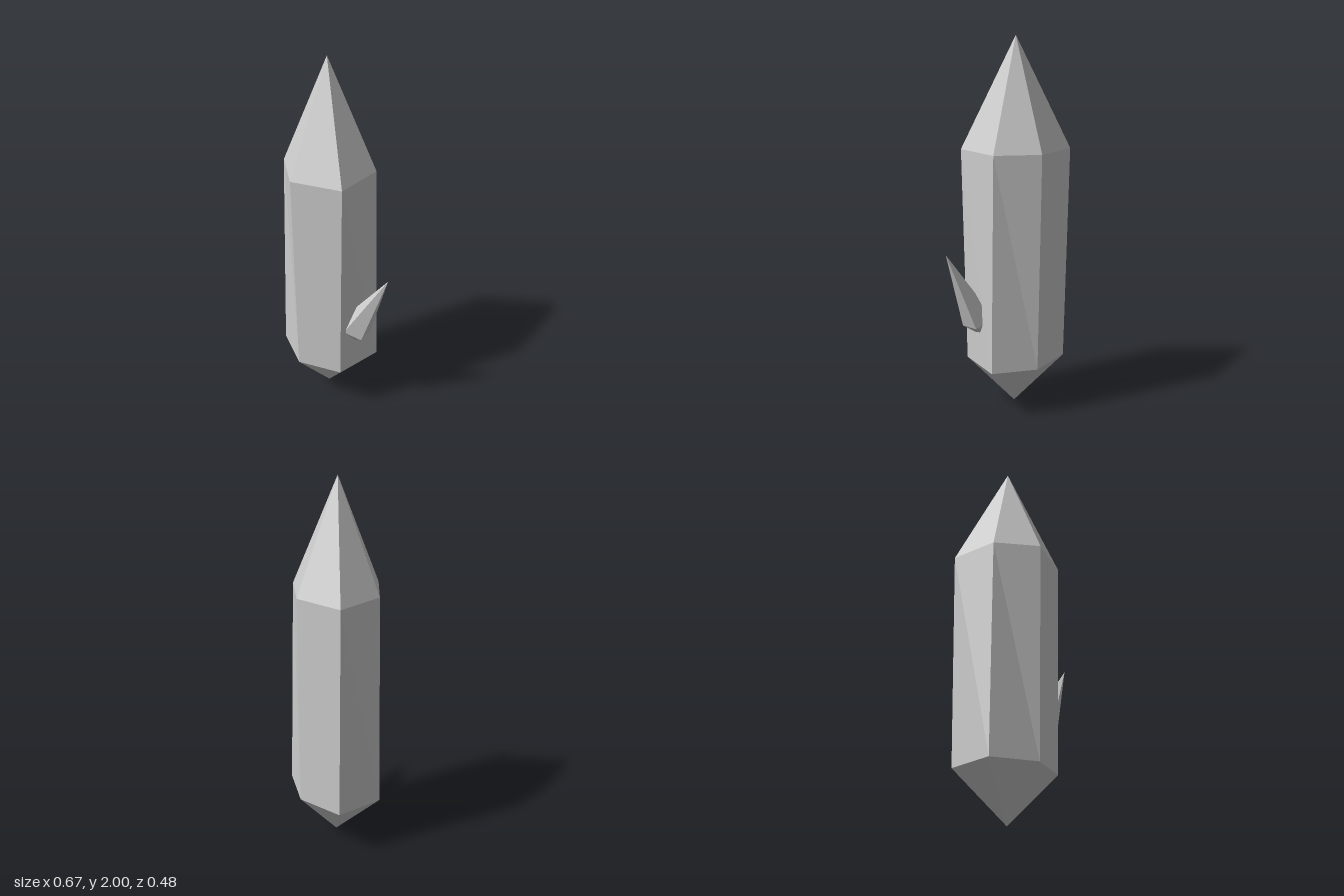
import * as THREE from 'three';

// Closed faceted crystal: lower point, one or more rings, upper point.
// Rings run front-left to right to back, so faces look outward.
function crystal(bottom, rings, top) {
  const p = [];
  const tri = (a, b, c) => p.push(...a, ...b, ...c);
  const n = rings[0].length;
  const last = rings[rings.length - 1];
  for (let i = 0; i < n; i++) {
    const j = (i + 1) % n;
    tri(bottom, rings[0][j], rings[0][i]);
    for (let k = 0; k + 1 < rings.length; k++) {
      const lo = rings[k], hi = rings[k + 1];
      tri(lo[i], lo[j], hi[i]);
      tri(lo[j], hi[j], hi[i]);
    }
    tri(last[i], last[j], top);
  }
  const g = new THREE.BufferGeometry();
  g.setAttribute('position', new THREE.Float32BufferAttribute(p, 3));
  g.computeVertexNormals();
  return g;
}

// Horizontal ring from x, z pairs
const ringAt = (y, pts) => pts.map(([x, z]) => [x, y, z]);

export function createModel() {
  const group = new THREE.Group();
  group.name = 'crystalCluster';
  const stone = new THREE.MeshStandardMaterial({ color: 0xcccccc, flatShading: true });
  stone.name = 'paleGreyStone';

  // Tall six-sided crystal, slightly narrower at the shoulder
  const lower = ringAt(0.265, [
    [-0.338, 0.058], [-0.145, 0.215], [0.1, 0.175],
    [0.187, -0.082], [-0.018, -0.225], [-0.275, -0.198],
  ]);
  const shoulder = ringAt(1.422, [
    [-0.31, 0.05], [-0.149, 0.237], [0.118, 0.19],
    [0.162, -0.075], [-0.022, -0.238], [-0.286, -0.213],
  ]);
  const main = new THREE.Mesh(
    crystal([-0.083, 0, -0.006], [lower, shoulder], [-0.083, 2, -0.01]), stone);
  main.name = 'mainCrystal';

  // Five-sided shard leaning out of the right-hand face
  const base = [
    [0.105, 0.53, 0.147], [0.195, 0.49, 0.116], [0.197, 0.494, 0.018],
    [0.108, 0.53, -0.02], [0.053, 0.555, 0.066],
  ];
  const shard = new THREE.Mesh(
    crystal([0.08, 0.405, 0.053], [base], [0.335, 0.915, 0.096]), stone);
  shard.name = 'sideShard';

  group.add(main, shard);
  return group;
}
